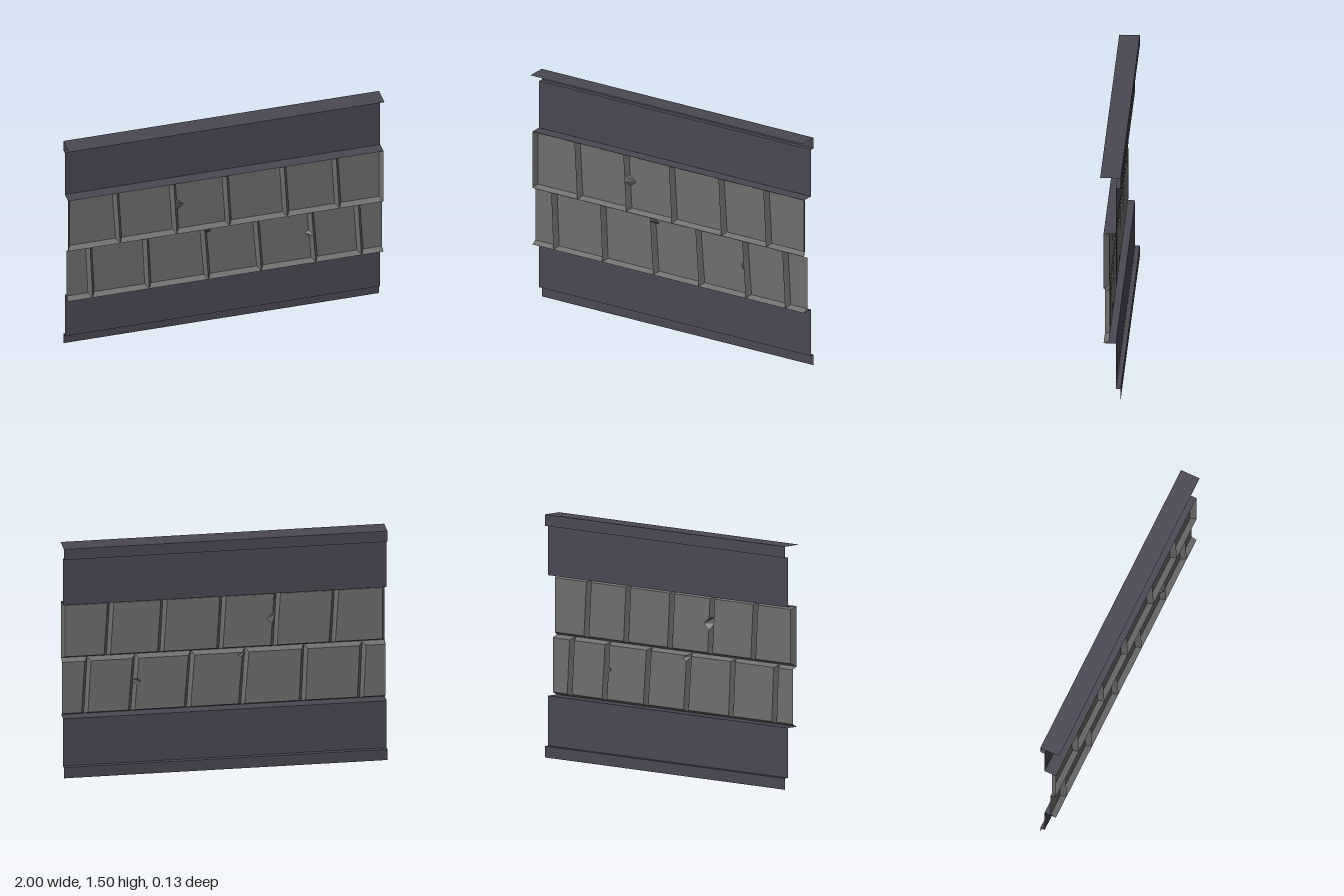
import * as THREE from 'three';

const FRONT = 0.042, BACK = 0.007; // ridge plane and recessed tile plane
const darkMat = new THREE.MeshStandardMaterial({ color: 0x4a4854, flatShading: true, side: THREE.DoubleSide });
const stoneMat = new THREE.MeshStandardMaterial({ color: 0x6e6e6e, flatShading: true, side: THREE.DoubleSide });

function meshFrom(name, pos, mat) {
  const g = new THREE.BufferGeometry();
  g.setAttribute('position', new THREE.Float32BufferAttribute(pos, 3));
  g.computeVertexNormals();
  const m = new THREE.Mesh(g, mat);
  m.name = name;
  return m;
}

function quad(out, a, b, c, d) {
  out.push(...a, ...b, ...c, ...a, ...c, ...d);
}

// Bent sheet: a [z, y] profile swept across the full width
function sheet(name, profile) {
  const pos = [];
  for (let i = 0; i + 1 < profile.length; i++) {
    const [z0, y0] = profile[i], [z1, y1] = profile[i + 1];
    quad(pos, [-1, y0, z0], [-1, y1, z1], [1, y1, z1], [1, y0, z0]);
  }
  return meshFrom(name, pos, darkMat);
}

// Recessed tile with bevelled rim. l and r are joints [xBottom, xTop];
// a chip { side, t, h, d } pushes a notch of the rim into the tile.
function tile(name, y0, y1, l, r, insetL, insetR, chip) {
  const b = 0.018, iy0 = y0 + b, iy1 = y1 - b;
  const outer = [[l[0], y0], [r[0], y0], [r[1], y1], [l[1], y1]];
  const inner = [[l[0] + insetL, iy0], [r[0] - insetR, iy0], [r[1] - insetR, iy1], [l[1] + insetL, iy1]];
  if (chip) {
    const left = chip.side < 0;
    const at = left ? 4 : 2; // insert after the last or the lower right corner
    const [from, to] = left ? [3, 0] : [1, 2];
    const steps = [[-chip.h, 0], [0, chip.d], [chip.h, 0]].map(([dt, d]) => {
      const t = left ? 1 - chip.t + dt : chip.t + dt;
      const mix = (p) => [0, 1].map((k) => p[from][k] + (p[to][k] - p[from][k]) * t);
      const o = mix(outer), n = mix(inner);
      return [o, [n[0] - chip.side * d, n[1]]];
    });
    outer.splice(at, 0, ...steps.map((s) => s[0]));
    inner.splice(at, 0, ...steps.map((s) => s[1]));
  }
  const pos = [], n = outer.length;
  for (let i = 0; i < n; i++) {
    const j = (i + 1) % n;
    if (Math.abs(outer[i][0]) === 1 && Math.abs(outer[j][0]) === 1 && outer[i][0] === inner[i][0]) continue; // open cut end
    quad(pos, [...outer[i], FRONT], [...outer[j], FRONT], [...inner[j], BACK], [...inner[i], BACK]);
  }
  const pts = inner.map(([x, y]) => new THREE.Vector2(x, y));
  for (const f of THREE.ShapeUtils.triangulateShape(pts, []))
    for (const k of f) pos.push(...inner[k], BACK);
  return meshFrom(name, pos, stoneMat);
}

// A row of tiles between leaning joints
function row(name, y0, y1, joints, endInset, chips) {
  const g = new THREE.Group();
  g.name = name;
  for (let i = 0; i + 1 < joints.length; i++) {
    const first = i === 0, last = i === joints.length - 2;
    g.add(tile('tile' + (i + 1), y0, y1, joints[i], joints[i + 1],
      first ? endInset : 0.02, last ? endInset : 0.02, chips[i]));
  }
  return g;
}

export function createModel() {
  const model = new THREE.Group();
  model.name = 'wallPanel';

  // Upper and lower trim sheets
  model.add(sheet('upperTrim', [[0.063, 1.5], [-0.063, 1.5], [-0.063, 1.43], [-0.034, 1.43], [-0.034, 1.122], [FRONT, 1.122]]));
  model.add(sheet('lowerTrim', [[FRONT, 0.378], [-0.034, 0.378], [-0.034, 0.07], [-0.063, 0.07], [-0.063, 0]]));

  // Two staggered rows of tiles
  model.add(row('upperTileRow', 0.75, 1.122,
    [[-1, -1], [-0.67, -0.69], [-0.31, -0.33], [0.025, 0.005], [0.39, 0.37], [0.72, 0.7], [1, 1]], 0.018,
    { 2: { side: -1, t: 0.53, h: 0.11, d: 0.04 } }));
  model.add(row('lowerTileRow', 0.378, 0.75,
    [[-1, -1], [-0.845, -0.86], [-0.485, -0.5], [-0.11, -0.135], [0.225, 0.2], [0.57, 0.545], [0.86, 0.84], [1, 1]], 0,
    {
      3: { side: -1, t: 0.95, h: 0.045, d: 0.03 },
      4: { side: 1, t: 0.55, h: 0.06, d: 0.025 },
    }));
  return model;
}
